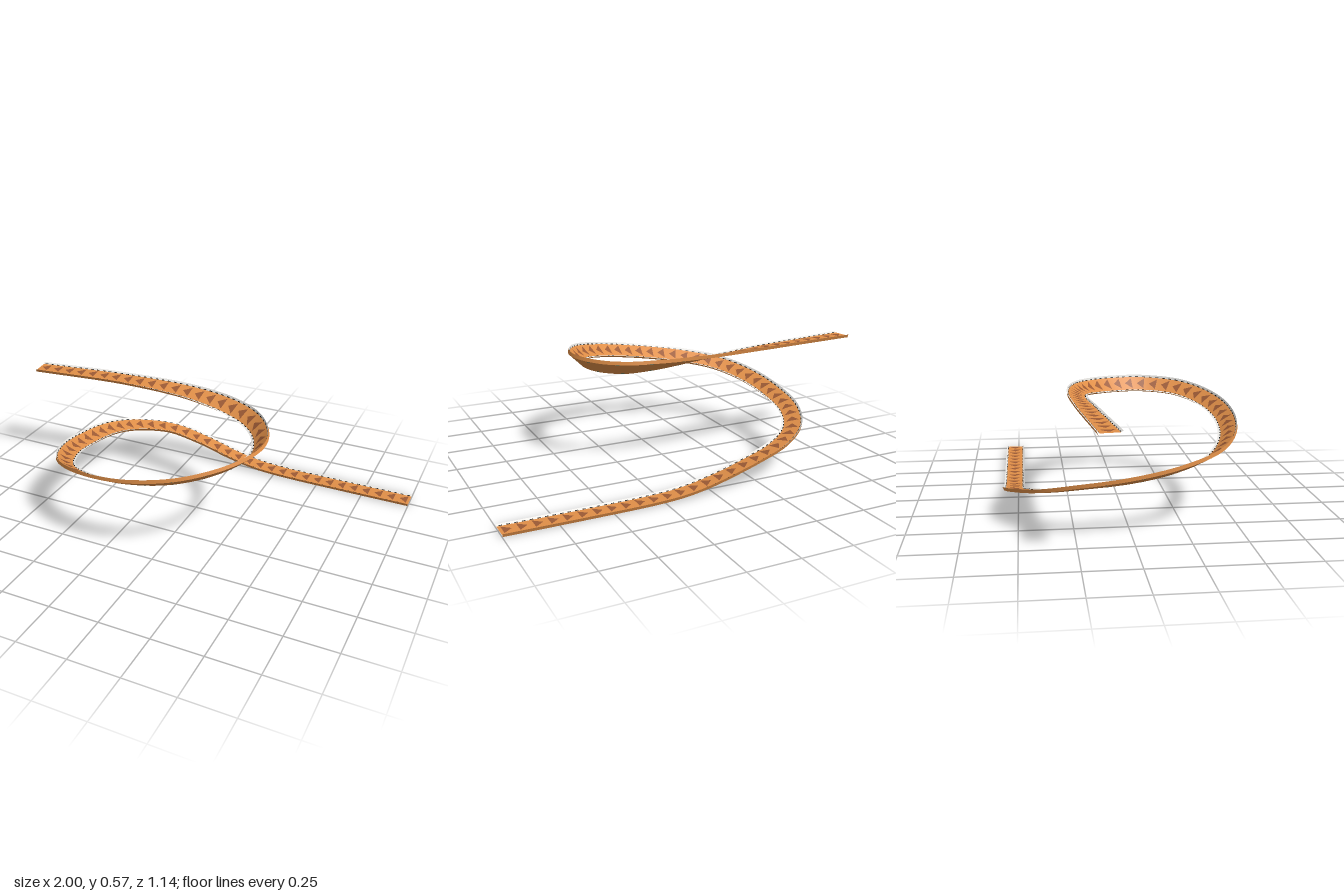
import * as THREE from 'three';

// Centre line of the track: x, y, z, bank angle in degrees
const PATH = [
  [1, 0, -0.52, 0], [0.6, 0, -0.52, 0], [0.3, 0.003, -0.52, 0], [0.15, 0.013, -0.52, 0],
  [0, 0.041, -0.52, 0], [-0.2, 0.098, -0.519, 2], [-0.38, 0.147, -0.49, 6], [-0.53, 0.183, -0.388, 13],
  [-0.615, 0.22, -0.23, 19], [-0.648, 0.254, 0, 24], [-0.625, 0.289, 0.2, 27], [-0.535, 0.327, 0.375, 30],
  [-0.35, 0.367, 0.488, 32], [-0.1, 0.409, 0.532, 33], [0.13, 0.45, 0.492, 37], [0.305, 0.485, 0.365, 41],
  [0.385, 0.497, 0.18, 44], [0.355, 0.501, 0.02, 44], [0.255, 0.508, -0.11, 41], [0.1, 0.522, -0.18, 33],
  [-0.15, 0.54, -0.21, 17], [-0.5, 0.552, -0.19, 5], [-0.995, 0.552, -0.133, 0],
];

// Cross-section, left to right over the top: shallow tray with sloped lips
const SECTION = [[-0.046, 0], [-0.053, 0.016], [-0.042, 0.009], [0.042, 0.009], [0.053, 0.016], [0.046, 0]];
const STEPS = 260;

const curve = new THREE.CatmullRomCurve3(PATH.map(([x, y, z]) => new THREE.Vector3(x, y, z)));
curve.arcLengthDivisions = 1000;

// Returns a function that places a section point (across, height) at position u
function frameAt(u) {
  const t = curve.getUtoTmapping(u);
  const k = t * (PATH.length - 1);
  const i = Math.min(Math.floor(k), PATH.length - 2);
  const bank = THREE.MathUtils.degToRad(THREE.MathUtils.lerp(PATH[i][3], PATH[i + 1][3], k - i));
  const centre = curve.getPoint(t);
  const forward = curve.getTangent(t);
  const right = new THREE.Vector3().crossVectors(forward, new THREE.Vector3(0, 1, 0)).normalize();
  right.applyAxisAngle(forward, -bank);
  const up = new THREE.Vector3().crossVectors(right, forward);
  return ([across, height]) => centre.clone().addScaledVector(right, across).addScaledVector(up, height);
}

function makeGeometry(points, index) {
  const g = new THREE.BufferGeometry().setFromPoints(points);
  g.setIndex(index);
  g.computeVertexNormals();
  return g;
}

// Sweeps one edge of the section along the path
function ribbon(frames, a, b) {
  const points = [], index = [];
  frames.forEach((place, i) => {
    points.push(place(a), place(b));
    if (i === 0) return;
    const p = 2 * (i - 1);
    index.push(p, p + 1, p + 3, p, p + 3, p + 2);
  });
  return makeGeometry(points, index);
}

// Evenly spaced short plates spanning a to b across the section
function dashes(a, b, pitch, size) {
  const length = curve.getLength();
  const count = Math.round(length / pitch);
  const points = [], index = [];
  for (let i = 0; i < count; i++) {
    const u = (i + 0.5) / count, half = size / 2 / length;
    const start = frameAt(u - half), end = frameAt(u + half);
    points.push(start(a), start(b), end(b), end(a));
    const p = 4 * i;
    index.push(p, p + 1, p + 2, p, p + 2, p + 3);
  }
  return makeGeometry(points, index);
}

export function createModel() {
  const paint = (name, color) => {
    const material = new THREE.MeshStandardMaterial({ color });
    material.name = name;
    return material;
  };
  const orange = paint('track orange', 0xe08f48);
  const brown = paint('arrow brown', 0x9c5a34);
  const white = paint('lip white', 0xf4f2ee);
  const black = paint('dash black', 0x151515);
  const teal = paint('marker teal', 0x1f7f86);

  const group = new THREE.Group();
  group.name = 'spiralTrack';
  const add = (name, geometry, material) => {
    const mesh = new THREE.Mesh(geometry, material);
    mesh.name = name;
    group.add(mesh);
  };

  // Track faces, with white inner faces on the lips
  const frames = Array.from({ length: STEPS + 1 }, (_, i) => frameAt(i / STEPS));
  const names = ['leftSide', 'leftLip', 'floor', 'rightLip', 'rightSide', 'underside'];
  names.forEach((name, i) => {
    const material = name.endsWith('Lip') ? white : orange;
    add(name, ribbon(frames, SECTION[i], SECTION[(i + 1) % 6]), material);
  });

  // End caps
  const cap = [0, 1, 2, 0, 2, 3, 0, 3, 5, 3, 4, 5];
  add('lowerEnd', makeGeometry(SECTION.map(frames[0]), cap), orange);
  add('upperEnd', makeGeometry(SECTION.map(frames[STEPS]), [...cap].reverse()), orange);

  // Black dashes along the foot of each lip
  add('leftDashes', dashes([-0.0455, 0.0118], [-0.0415, 0.0096], 0.034, 0.015), black);
  add('rightDashes', dashes([0.0415, 0.0096], [0.0455, 0.0118], 0.034, 0.015), black);

  // Small teal markers near both edges of the underside
  add('leftMarkers', dashes([-0.04, -0.0006], [-0.045, -0.0006], 0.15, 0.02), teal);
  add('rightMarkers', dashes([0.045, -0.0006], [0.04, -0.0006], 0.15, 0.02), teal);

  // Direction arrows lying on the floor, pointing uphill
  const length = curve.getLength();
  const count = Math.round(length / 0.068);
  const points = [], index = [];
  for (let i = 0; i < count; i++) {
    const u = (i + 0.5) / count, half = 0.02 / length;
    const tail = frameAt(u - half), tip = frameAt(u + half);
    points.push(tail([-0.033, 0.0102]), tail([0.033, 0.0102]), tip([0, 0.0102]));
    index.push(3 * i, 3 * i + 1, 3 * i + 2);
  }
  add('arrows', makeGeometry(points, index), brown);

  return group;
}
